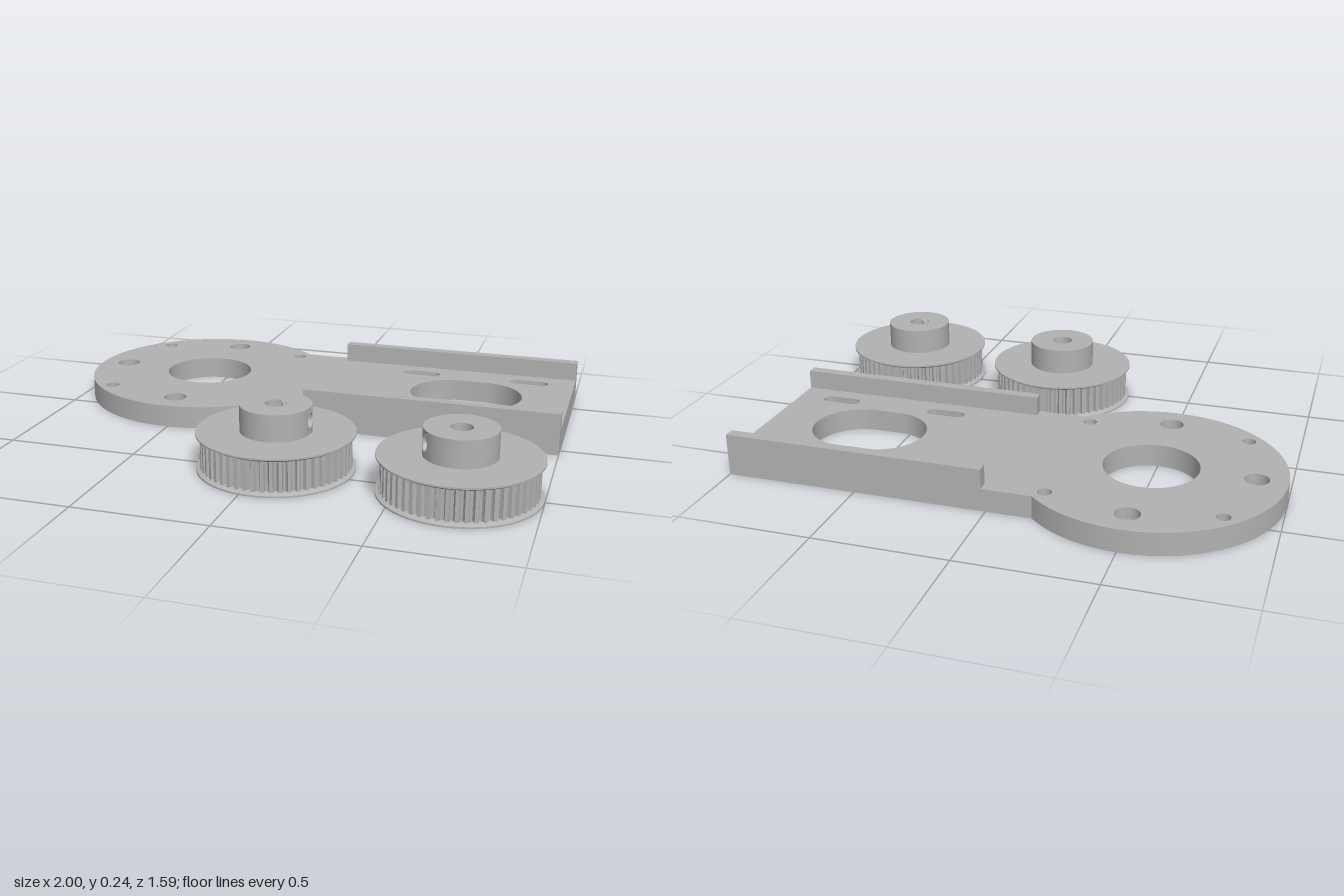
import * as THREE from 'three';
import { toCreasedNormals } from 'three/addons/utils/BufferGeometryUtils.js';

const grey = new THREE.MeshStandardMaterial({ color: 0xb2b2b2 });
grey.name = 'plain grey';

function add(parent, name, geometry, x = 0, y = 0, z = 0) {
  const mesh = new THREE.Mesh(geometry, grey);
  mesh.name = name;
  mesh.position.set(x, y, z);
  parent.add(mesh);
  return mesh;
}

// Stands a flat outline (x, -z) up into a solid of the given height
function slab(shape, height) {
  const g = new THREE.ExtrudeGeometry(shape, { depth: height, bevelEnabled: false, curveSegments: 32 });
  return toCreasedNormals(g.rotateX(-Math.PI / 2), 0.5);
}

const circle = (x, y, r) => new THREE.Path().absarc(x, y, r, 0, Math.PI * 2, true);

// Slot with round ends, centred on (x, y), lying along x
function slot(x, y, length, r) {
  const h = length / 2 - r;
  const p = new THREE.Path();
  p.absarc(x + h, y, r, -Math.PI / 2, Math.PI / 2, false);
  p.absarc(x - h, y, r, Math.PI / 2, Math.PI * 1.5, false);
  p.closePath();
  return p;
}

// Round mount running into a rectangular arm, with all openings
function plateShape(counterRadius) {
  const cx = -0.51, cy = 0.304, r = 0.49, half = 0.352;
  const a = Math.asin(half / r);
  const s = new THREE.Shape();
  s.moveTo(1, cy - half);
  s.lineTo(1, cy + half);
  s.absarc(cx, cy, r, a, Math.PI * 2 - a, false);
  s.closePath();
  s.holes.push(circle(cx, cy, 0.176));
  for (const i of [-1, 1]) {
    for (const j of [-1, 1]) {
      s.holes.push(circle(cx + i * 0.308, cy + j * 0.308, 0.026));
      s.holes.push(slot(0.593 + i * 0.226, cy + j * 0.224, 0.153, 0.026));
    }
  }
  for (const q of [1, 2, 3]) {
    const t = q * Math.PI / 2;
    s.holes.push(circle(cx + Math.cos(t) * 0.378, cy + Math.sin(t) * 0.378, counterRadius));
  }
  s.holes.push(slot(0.593, cy, 0.445, 0.171));
  return s;
}

function createBracket() {
  const g = new THREE.Group();
  g.name = 'motorBracket';
  // Two layers give the stepped screw holes
  add(g, 'plateLower', slab(plateShape(0.026), 0.04));
  add(g, 'plateUpper', slab(plateShape(0.045), 0.046), 0, 0.04);
  for (const [name, z] of [['backRail', -0.635], ['frontRail', 0.027]]) {
    add(g, name, new THREE.BoxGeometry(0.984, 0.076, 0.042), 0.508, 0.122, z);
  }
  return g;
}

// Toothed drum outline
function drumShape(teeth, outer, depth, bore) {
  const pts = [];
  const profile = [[0, 0], [0.4, 0], [0.46, 0.6], [0.58, 1], [0.82, 1], [0.94, 0.6]];
  for (let i = 0; i < teeth; i++) {
    for (const [u, d] of profile) {
      const a = (i + u) / teeth * Math.PI * 2, r = outer - d * depth;
      pts.push(new THREE.Vector2(Math.cos(a) * r, Math.sin(a) * r));
    }
  }
  const s = new THREE.Shape(pts);
  s.holes.push(circle(0, 0, bore));
  return s;
}

// Smooth ring turned from a closed profile
function turned(points) {
  const g = new THREE.LatheGeometry(points.map(([r, y]) => new THREE.Vector2(r, y)), 72);
  return toCreasedNormals(g, 0.4);
}

function createPulley(name, x, z, turn) {
  const g = new THREE.Group();
  g.name = name;
  g.position.set(x, 0, z);
  g.rotation.y = turn;
  const bore = 0.04, rim = 0.287, hub = 0.13;

  add(g, 'toothedDrum', slab(drumShape(54, 0.273, 0.014, bore), 0.12), 0, 0.008);
  add(g, 'lowerFlange', turned([[bore, 0], [rim, 0], [rim, 0.006], [0.27, 0.014], [bore, 0.014], [bore, 0]]));
  add(g, 'upperFlange', turned([[bore, 0.124], [0.27, 0.124], [rim, 0.134], [rim, 0.14], [bore, 0.14], [bore, 0.124]]));

  // Hub wall, left open at +z where the drilled panel sits
  const w = 0.039, gap = Math.asin(w / hub), y0 = 0.14, h = 0.1;
  add(g, 'hubWall', new THREE.CylinderGeometry(hub, hub, h, 60, 1, true, gap, Math.PI * 2 - 2 * gap), 0, y0 + h / 2);
  add(g, 'hubTop', new THREE.RingGeometry(bore, hub, 64).rotateX(-Math.PI / 2), 0, y0 + h);
  add(g, 'hubBore', turned([[bore, h], [bore, 0]]), 0, y0);

  // Panel with the set screw hole, bent to the hub radius
  const pts = [];
  for (let i = 0; i <= 8; i++) pts.push(new THREE.Vector2(-w + i * w / 4, 0));
  for (let i = 8; i >= 0; i--) pts.push(new THREE.Vector2(-w + i * w / 4, h));
  const s = new THREE.Shape(pts);
  s.holes.push(circle(0, h / 2, 0.028));
  const panel = new THREE.ExtrudeGeometry(s, { depth: 1, bevelEnabled: false, curveSegments: 24 });
  const p = panel.attributes.position;
  for (let i = 0; i < p.count; i++) {
    const r = p.getZ(i) > 0.5 ? hub : bore;
    p.setZ(i, Math.sqrt(r * r - p.getX(i) ** 2));
  }
  add(g, 'setScrewPanel', toCreasedNormals(panel, 0.6), 0, y0);
  return g;
}

export function createModel() {
  const model = new THREE.Group();
  model.name = 'beltDriveParts';
  model.add(createBracket());
  model.add(createPulley('firstPulley', 0.042, 0.457, Math.PI / 2));
  model.add(createPulley('secondPulley', 0.712, 0.505, -1.1));
  return model;
}
